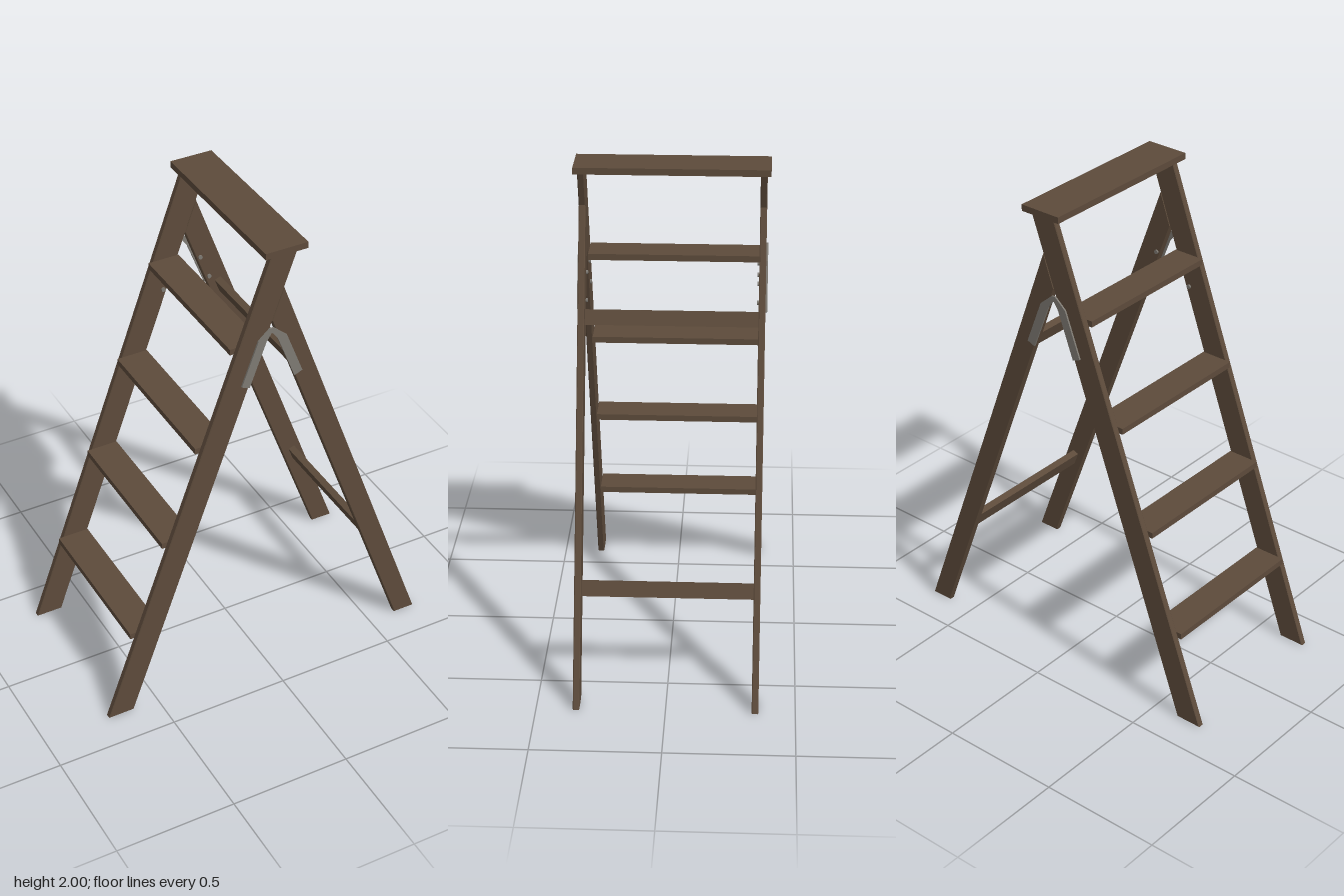
import * as THREE from 'three';

const wood = new THREE.MeshStandardMaterial({ name: 'darkWood', color: 0x5d4b3b });
const metal = new THREE.MeshStandardMaterial({ name: 'greyMetal', color: 0x7e7a73 });

// Extrude an x-y outline from z0 to z0 + depth with slightly eased edges
function slab(name, points, z0, depth, material, bevel = 0) {
  const shape = new THREE.Shape(points.map(([x, y]) => new THREE.Vector2(x, y)));
  const geometry = new THREE.ExtrudeGeometry(shape, {
    depth: depth - 2 * bevel,
    bevelEnabled: bevel > 0,
    bevelSize: bevel,
    bevelOffset: -bevel,
    bevelThickness: bevel,
    bevelSegments: 1,
  });
  geometry.translate(0, 0, z0 + bevel);
  const mesh = new THREE.Mesh(geometry, material);
  mesh.name = name;
  return mesh;
}

function board(name, w, h, d, x, y) {
  const mesh = new THREE.Mesh(new THREE.BoxGeometry(w, h, d), wood);
  mesh.name = name;
  mesh.position.set(x, y, 0);
  return mesh;
}

export function createModel() {
  const ladder = new THREE.Group();
  ladder.name = 'stepLadder';

  const inner = 0.332, thick = 0.026, outer = inner + thick;
  const lean = Math.atan(0.363);

  const stepRail = [[-0.718, 0], [-0.609, 0], [0.108, 1.976], [0, 1.976]];
  const rearLeg = [[0.622, 0], [0.714, 0], [0.053, 1.825], [0.004, 1.69]];
  const strap = [
    [-0.125, 1.438], [-0.092, 1.425], [-0.022, 1.612], [0, 1.645], [0.026, 1.61],
    [0.1, 1.418], [0.134, 1.432], [0.064, 1.615], [0.008, 1.664], [-0.008, 1.664], [-0.056, 1.622],
  ];

  // Side frames: rail, rear leg, hinge strap and its bolts
  for (const side of [1, -1]) {
    const label = side > 0 ? 'front' : 'back';
    const railZ = side > 0 ? inner : -outer;
    const strapZ = side > 0 ? outer : -outer - 0.007;
    ladder.add(
      slab(label + 'StepRail', stepRail, railZ, thick, wood, 0.003),
      slab(label + 'RearLeg', rearLeg, railZ, thick, wood, 0.003),
      slab(label + 'HingeStrap', strap, strapZ, 0.007, metal),
    );
    for (const [x, y] of [[-0.097, 1.46], [-0.058, 1.56], [0.107, 1.46], [0.068, 1.56]]) {
      const bolt = new THREE.Mesh(new THREE.CylinderGeometry(0.009, 0.009, 0.008, 8), metal);
      bolt.name = label + 'HingeBolt';
      bolt.rotation.x = Math.PI / 2;
      bolt.position.set(x, y, side * (inner - 0.003));
      ladder.add(bolt);
    }
  }

  // Four evenly spaced treads
  for (let i = 0; i < 4; i++) {
    ladder.add(board('step', 0.131, 0.025, 2 * inner, -0.536 + i * 0.1477, 0.369 + i * 0.406));
  }

  // Leaning cross bars between the rear legs
  for (const [x, y] of [[0.515, 0.426], [0.156, 1.409]]) {
    const bar = board('rearCrossBar', 0.028, 0.059, 2 * inner, x, y);
    bar.rotation.z = lean;
    ladder.add(bar);
  }

  // Top platform
  ladder.add(board('topPlatform', 0.176, 0.026, 0.744, 0.053, 1.987));

  return ladder;
}
